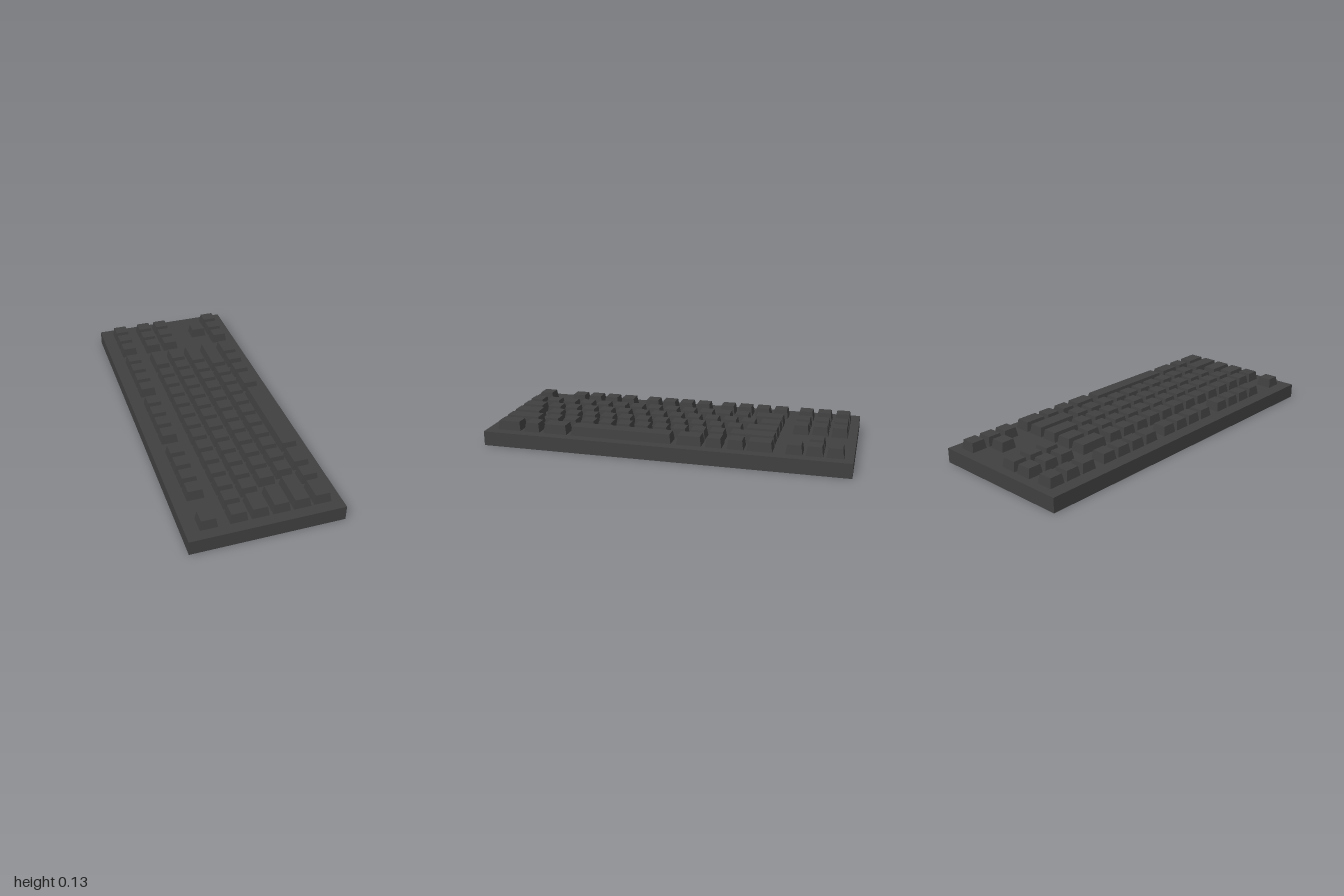
import * as THREE from 'three';

const BASE_TOP = 0.08, KEY_H = 0.05, KEY_W = 0.09, TAPER = 0.008;
const PITCH = 0.1042, KEY_L = 0.088;

// Keycap: a box whose top edges are drawn in by a fixed amount
function keycapGeometry(length) {
  const g = new THREE.BoxGeometry(KEY_W, KEY_H, length);
  const p = g.attributes.position;
  for (let i = 0; i < p.count; i++) {
    if (p.getY(i) > 0) {
      p.setX(i, p.getX(i) - Math.sign(p.getX(i)) * TAPER);
      p.setZ(i, p.getZ(i) - Math.sign(p.getZ(i)) * TAPER);
    }
  }
  g.computeVertexNormals();
  return g;
}

export function createModel() {
  const model = new THREE.Group();
  model.name = 'keyboard';
  const material = new THREE.MeshStandardMaterial({ color: 0x404040 });

  // Flat case
  const base = new THREE.Mesh(new THREE.BoxGeometry(0.8, BASE_TOP, 2), material);
  base.name = 'case';
  base.position.y = BASE_TOP / 2;
  model.add(base);

  const cache = new Map();
  function row(name, x) {
    const group = new THREE.Group();
    group.name = name;
    group.position.set(x, BASE_TOP + KEY_H / 2, 0);
    model.add(group);
    const key = (z, length = KEY_L, keyName = 'key') => {
      if (!cache.has(length)) cache.set(length, keycapGeometry(length));
      const mesh = new THREE.Mesh(cache.get(length), material);
      mesh.name = keyName;
      mesh.position.z = z;
      group.add(mesh);
    };
    // Evenly spaced single keys, from +z towards -z
    const run = (z, count) => {
      for (let i = 0; i < count; i++) key(z - i * PITCH);
    };
    return { key, run };
  }

  // Top row: single key, three blocks of four, block of three
  const topRow = row('topRow', -0.283);
  topRow.key(0.899);
  for (const z of [0.685, 0.218, -0.241]) topRow.run(z, 4);
  topRow.run(-0.699, 3);

  // Number row
  const numberRow = row('numberRow', -0.132);
  numberRow.run(0.899, 13);
  numberRow.key(-0.508, 0.165, 'backspaceKey');
  numberRow.run(-0.699, 3);

  // Upper letter row
  const upperRow = row('upperLetterRow', -0.023);
  upperRow.key(0.875, 0.134, 'tabKey');
  upperRow.run(0.74, 12);
  upperRow.key(-0.529, 0.12, 'rowEndKey');
  upperRow.run(-0.699, 3);

  // Middle letter row
  const middleRow = row('middleLetterRow', 0.086);
  middleRow.key(0.862, 0.16, 'capsKey');
  middleRow.run(0.695, 11);
  middleRow.key(-0.499, 0.178, 'enterKey');

  // Lower letter row with the up arrow
  const lowerRow = row('lowerLetterRow', 0.193);
  lowerRow.key(0.841, 0.202, 'leftShiftKey');
  lowerRow.run(0.665, 10);
  lowerRow.key(-0.464, 0.246, 'rightShiftKey');
  lowerRow.key(-0.803, KEY_L, 'arrowKey');

  // Space bar row with three arrows
  const bottomRow = row('bottomRow', 0.3);
  for (const z of [0.873, 0.603, -0.148, -0.522]) bottomRow.key(z, 0.134, 'modifierKey');
  for (const z of [0.738, -0.28, -0.395]) bottomRow.key(z, KEY_L, 'modifierKey');
  bottomRow.key(0.23, 0.562, 'spaceBar');
  bottomRow.run(-0.699, 3);

  return model;
}
